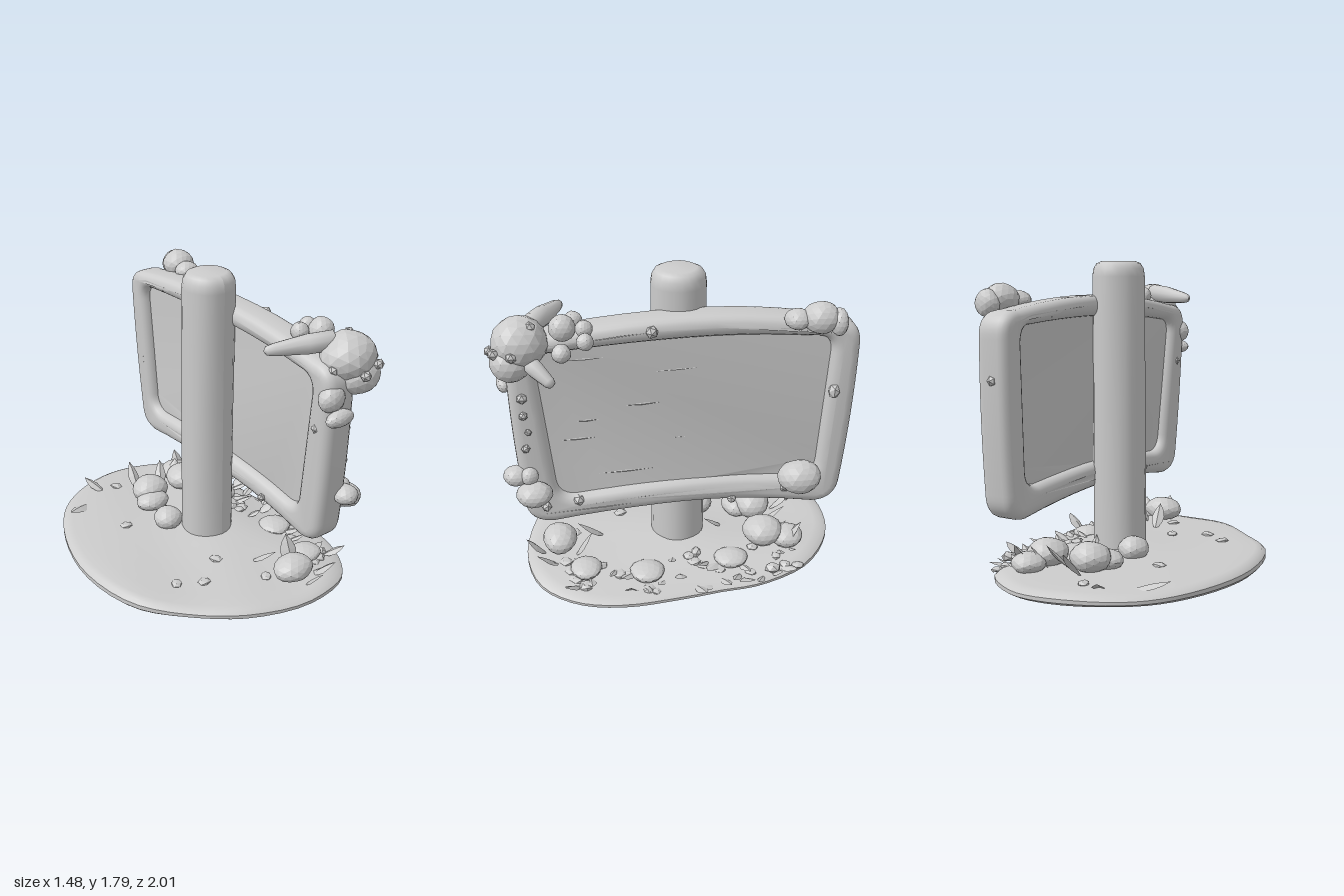
import * as THREE from 'three';
import { toCreasedNormals } from 'three/addons/utils/BufferGeometryUtils.js';

const smooth = new THREE.MeshStandardMaterial({ color: 0xcccccc });
const faceted = new THREE.MeshStandardMaterial({ color: 0xcccccc, flatShading: true });
const thin = new THREE.MeshStandardMaterial({ color: 0xcccccc, flatShading: true, side: THREE.DoubleSide });

// Small seeded generator for the scattered debris
let seed = 7;
const rand = (a = 0, b = 1) => {
  seed = (seed * 16807) % 2147483647;
  return a + (b - a) * seed / 2147483647;
};

// Move every vertex by a rule
function warp(geo, rule) {
  const p = geo.attributes.position, v = new THREE.Vector3();
  for (let i = 0; i < p.count; i++) {
    rule(v.fromBufferAttribute(p, i));
    p.setXYZ(i, v.x, v.y, v.z);
  }
  geo.computeVertexNormals();
  return geo;
}

function add(parent, name, geo, mat = smooth) {
  const mesh = new THREE.Mesh(geo, mat);
  mesh.name = name;
  parent.add(mesh);
  return mesh;
}

// Lumpy stone
const stoneGeo = detail => warp(new THREE.IcosahedronGeometry(1, detail), v =>
  v.multiplyScalar(1 + 0.05 * Math.sin(4 * v.x + 2 * v.y) * Math.cos(3 * v.z + v.y)));
const stoneShape = stoneGeo(2), pebbleShape = stoneGeo(0);
function stone(parent, name, [x, y, z, rx, ry = rx, rz = rx], turn = 0) {
  const m = add(parent, name, rx < 0.045 ? pebbleShape : stoneShape, faceted);
  m.position.set(x, y, z);
  m.scale.set(rx, ry, rz);
  m.rotation.y = turn;
  return m;
}

// Folded, arched leaf growing along +y
const leafShape = warp(new THREE.PlaneGeometry(1, 1, 2, 4), v => {
  const t = v.y + 0.5;
  v.x *= Math.sin(Math.PI * Math.min(1, 0.08 + 0.92 * t)) * 0.9;
  v.z = Math.abs(v.x) * 0.35 + 0.25 * t * t;
  v.y = t;
});
function leaf(parent, [x, y, z, len, width, yaw, tilt]) {
  const m = add(parent, 'leaf', leafShape, thin);
  m.position.set(x, y, z);
  m.scale.set(width, len, len * 0.6);
  m.rotation.set(tilt, yaw, 0, 'YXZ');
}

// Round limb tapering between two points
function limb(parent, name, from, to, r0, r1) {
  const a = new THREE.Vector3(...from), d = new THREE.Vector3(...to).sub(a), L = d.length();
  const pts = [[0, 0], [r0, 0.02], [r0, L * 0.4], [r1, L * 0.85], [r1 * 0.7, L * 0.96], [0, L]];
  const m = add(parent, name, new THREE.LatheGeometry(pts.map(p => new THREE.Vector2(...p)), 10));
  m.position.copy(a);
  m.quaternion.setFromUnitVectors(new THREE.Vector3(0, 1, 0), d.normalize());
}

const topY = (x, z) => {
  const fall = THREE.MathUtils.smoothstep(x, 0.3, 0.72);
  return 0.105 - 0.015 * x - 0.055 * fall + 0.006 * Math.sin(9 * x + 4 * z) - 0.015 * z * z
    + 0.02 * Math.exp(-12 * ((x - 0.13) ** 2 + (z + 0.02) ** 2));
};
const underY = (x, z) => 0.038 - 0.045 * Math.max(0, Math.min(1, (x + 0.35) / 1.05)) + 0.012 * z * z;

// Ground slab lofted from one outline
function slabGeometry() {
  const outline = [[.69, 0], [.72, .35], [.66, .62], [.5, .82], [.2, .89], [-.18, .8], [-.44, .61], [-.66, .35],
    [-.735, -.05], [-.66, -.44], [-.5, -.735], [-.29, -.89], [0, -.965], [.25, -.93], [.5, -.75], [.63, -.45], [.66, -.2]];
  const N = 64;
  const loop = new THREE.CatmullRomCurve3(outline.map(([x, z]) => new THREE.Vector3(x, 0, z)), true).getPoints(N);
  const rings = [[0, 0], [.97, 0], [1, .3], [1, .65], [.97, .93], [.92, 1], [.8, 1], [.65, 1], [.5, 1], [.35, 1], [.18, 1], [0, 1]];
  const pos = [], idx = [];
  rings.forEach(([s, t]) => loop.forEach(p => {
    const x = p.x * s, z = p.z * s;
    pos.push(x, Math.max(0, THREE.MathUtils.lerp(underY(x, z), topY(x, z), t)), z);
  }));
  for (let i = 0; i < rings.length - 1; i++) for (let j = 0; j < N; j++) {
    const a = i * (N + 1) + j, c = a + N + 1;
    if (i < rings.length - 2) idx.push(a, c, a + 1);
    if (i > 0) idx.push(a + 1, c, c + 1);
    else idx.push(a + 1, c, c + 1);
    if (i === rings.length - 2) idx.push(a, c, a + 1);
  }
  const g = new THREE.BufferGeometry();
  g.setAttribute('position', new THREE.Float32BufferAttribute(pos, 3));
  g.setIndex(idx);
  return toCreasedNormals(g, 0.7);
}

// Rounded, bowed four-sided outline; corners run anticlockwise from lower left
function bowed(target, corners, r, bow) {
  const c = corners.map(p => new THREE.Vector2(...p));
  for (let i = 0; i < 4; i++) {
    const p = c[i], q = c[(i + 1) % 4], n = c[(i + 2) % 4];
    const dir = q.clone().sub(p).normalize(), next = n.clone().sub(q).normalize();
    const a = p.clone().addScaledVector(dir, r), b = q.clone().addScaledVector(dir, -r);
    const mid = a.clone().add(b).multiplyScalar(0.5).add(new THREE.Vector2(...bow[i]));
    if (i === 0) target.moveTo(a.x, a.y);
    target.quadraticCurveTo(mid.x, mid.y, b.x, b.y);
    const e = q.clone().addScaledVector(next, r);
    target.quadraticCurveTo(q.x, q.y, e.x, e.y);
  }
  return target;
}

// Turn an extrusion to face +x and lean it slightly
function boardGeometry(shape, depth, x, bevel) {
  const g = new THREE.ExtrudeGeometry(shape, { depth: depth - 2 * bevel, curveSegments: 10, bevelEnabled: bevel > 0,
    bevelThickness: bevel, bevelSize: bevel, bevelOffset: -bevel, bevelSegments: 4 });
  g.rotateY(Math.PI / 2).translate(x + bevel, 0, 0);
  warp(g, v => { v.x += (1 - v.y) * 0.03 + 0.006 * Math.sin(5 * v.z); });
  return toCreasedNormals(g, 0.6);
}

export function createModel() {
  const root = new THREE.Group();
  root.name = 'signpost';
  const group = name => {
    const g = new THREE.Group();
    g.name = name;
    root.add(g);
    return g;
  };

  add(root, 'groundSlab', slabGeometry());

  // Post with rounded top and faint wobble
  const profile = [[.157, 0.04], [.156, .5], [.153, 1], [.152, 1.4], [.152, 1.7], [.146, 1.745], [.128, 1.775], [.1, 1.788], [0, 1.79]];
  const post = add(root, 'post', warp(new THREE.LatheGeometry(profile.map(p => new THREE.Vector2(...p)), 24), v => {
    const k = 1 + 0.015 * Math.sin(5 * Math.atan2(v.z, v.x) + 2 * v.y);
    v.x *= k;
    v.z *= k;
  }));
  post.position.set(0.128, 0, -0.025);

  // Board: bowed frame around a recessed panel
  const board = group('signBoard');
  const bowOut = [[0, .12], [.02, 0], [0, .14], [-.02, 0]];
  const inner = [[-.68, .565], [.78, .585], [.835, 1.45], [-.77, 1.43]];
  const frame = bowed(new THREE.Shape(), [[-.865, .40], [.925, .41], [.995, 1.53], [-.925, 1.52]], 0.15, bowOut);
  frame.holes.push(bowed(new THREE.Path(), inner, 0.1, [[0, .07], [0, 0], [0, .07], [0, 0]]));
  add(board, 'frame', boardGeometry(frame, 0.2, 0.205, 0.055));
  const panel = bowed(new THREE.Shape(), [[-.75, .5], [.85, .52], [.9, 1.5], [-.84, 1.48]], 0.1, bowOut);
  add(board, 'panel', boardGeometry(panel, 0.09, 0.262, 0));

  // Slim wood-grain ridges on the panel front
  [[-.0, 1.29, .3], [-.33, 1.26, .28], [.5, 1.38, .2], [.5, 1.02, .12], [.55, .91, .2], [0, .88, .3], [-.25, .77, .4],
    [-.5, 1.0, .2], [.3, .69, .3], [-.6, 1.12, .15], [.2, 1.1, .2], [-.1, .66, .25]].forEach(([z, y, len]) => {
    const m = add(board, 'grain', new THREE.OctahedronGeometry(1), faceted);
    m.position.set(0.352 + (1 - y) * 0.03 + 0.006 * Math.sin(5 * z), y, z);
    m.scale.set(0.004, 0.006, len / 2);
    m.rotation.x = 0.04;
  });

  // Creature peeking over the upper corner
  const creature = group('creature');
  stone(creature, 'head', [.39, 1.52, .83, .155, .135, .145]);
  stone(creature, 'muzzle', [.42, 1.43, .88, .125, .105, .11]);
  limb(creature, 'longEar', [.36, 1.6, .77], [.005, 1.565, .61], .055, .035);
  limb(creature, 'shortEar', [.46, 1.45, .8], [.575, 1.35, .67], .045, .032);
  [[.25, 1.49, .87], [.53, 1.5, .87], [.44, 1.62, .77], [.48, 1.5, .96], [.37, 1.47, .985]].forEach(p => stone(creature, 'bump', [...p, .03]));

  // Stones clinging to the frame
  const stones = group('frameStones');
  [[.40, 1.59, .61, .07], [.5, 1.55, .5, .045], [.3, 1.585, .55, .05], [.47, 1.48, .62, .05], [.4, 1.58, .5, .046],
    [.235, 1.345, .89, .078, .075, .06], [.265, 1.24, .93, .09, .047, .045],
    [.42, 1.58, -.74, .095, .085, .1], [.4, 1.57, -.62, .075, .055, .07], [.44, 1.56, -.83, .075, .075, .05],
    [.45, .62, -.68, .105, .095, .125], [.47, .645, .81, .09, .065, .1], [.385, .72, .9, .07, .055, .075], [.42, .73, .83, .05],
    [.4, 1.13, -.85, .035, .045], [.4, 1.54, .15, .035], [.4, .54, .57, .035], [.4, .475, -.3, .03], [.4, .53, -.6, .035],
    [.41, 1.1, .84, .025], [.41, 1.0, .82, .02], [.41, .9, .84, .025], [.4, 1.2, .84, .03], [.3, 1.17, -.97, .03],
    [.22, 1.5, -.6, .03], [.21, 1.15, .82, .03], [.21, .5, .4, .025], [.43, .53, .75, .03]]
    .forEach((s, i) => stone(stones, 'frameStone', s, s[3] < 0.06 ? i : 0));

  // Larger stones on the ground
  const ground = group('groundStones');
  [[.23, .165, .69, .125, .075, .1], [.02, .17, -.51, .12, .085, .11], [-.02, .14, -.42, .11, .06, .09],
    [-.06, .15, -.18, .09, .07, .09], [.3, .16, -.52, .12, .08, .12], [.33, .13, -.66, .1, .06, .1],
    [.45, .1, .55, .1, .04, .09], [.5, .08, .2, .1, .04, .1], [.45, .09, -.3, .09, .04, .1], [.58, .09, -.52, .04, .03, .05]]
    .forEach(s => stone(ground, 'groundStone', s));
  [[-.23, .44], [-.37, .36], [-.05, .31], [-.3, -.3], [.1, .6], [-.1, -.75]].forEach(([x, z], i) =>
    stone(ground, 'pebble', [x, topY(x, z) + 0.005, z, .042, .016, .035], i));

  // Leaves standing in tufts around the stones
  const leaves = group('leaves');
  [[-.36, .1, -.68, .2, .1, -1.1, 1.2], [0, .1, -.63, .2, .08, 3, .6], [-.2, .1, -.75, .16, .08, 3.6, 1],
    [.14, .1, .43, .2, .09, .3, .75], [.13, .1, -.55, .2, .08, 2.6, .6], [.3, .09, .6, .19, .12, 2.9, .4],
    [.26, .09, .78, .16, .1, .2, .6], [.35, .09, -.62, .19, .1, 3, .5], [.25, .09, -.58, .17, .1, 2.4, .5],
    [.14, .1, -.3, .16, .06, .4, .8], [.62, .05, .3, .15, .09, 1.4, .7], [.6, .05, -.35, .14, .1, 1.7, .9],
    [.36, .08, .72, .17, .1, .6, .7], [.56, .06, .6, .14, .08, .9, .9]].forEach(l => leaf(leaves, l));

  // Shards and grit strewn along the front of the sign
  for (let i = 0; i < 44; i++) {
    const z = rand(-.68, .72), x = rand(.36, .67 - .25 * z * z);
    if (i % 2) leaf(leaves, [x, topY(x, z), z, rand(.06, .13), rand(.04, .08), rand(0.6, 2.6), rand(.9, 1.35)]);
    else stone(ground, 'grit', [x, topY(x, z), z, rand(.025, .044), rand(.012, .025), rand(.025, .05)], rand(0, 6));
  }
  return root;
}
